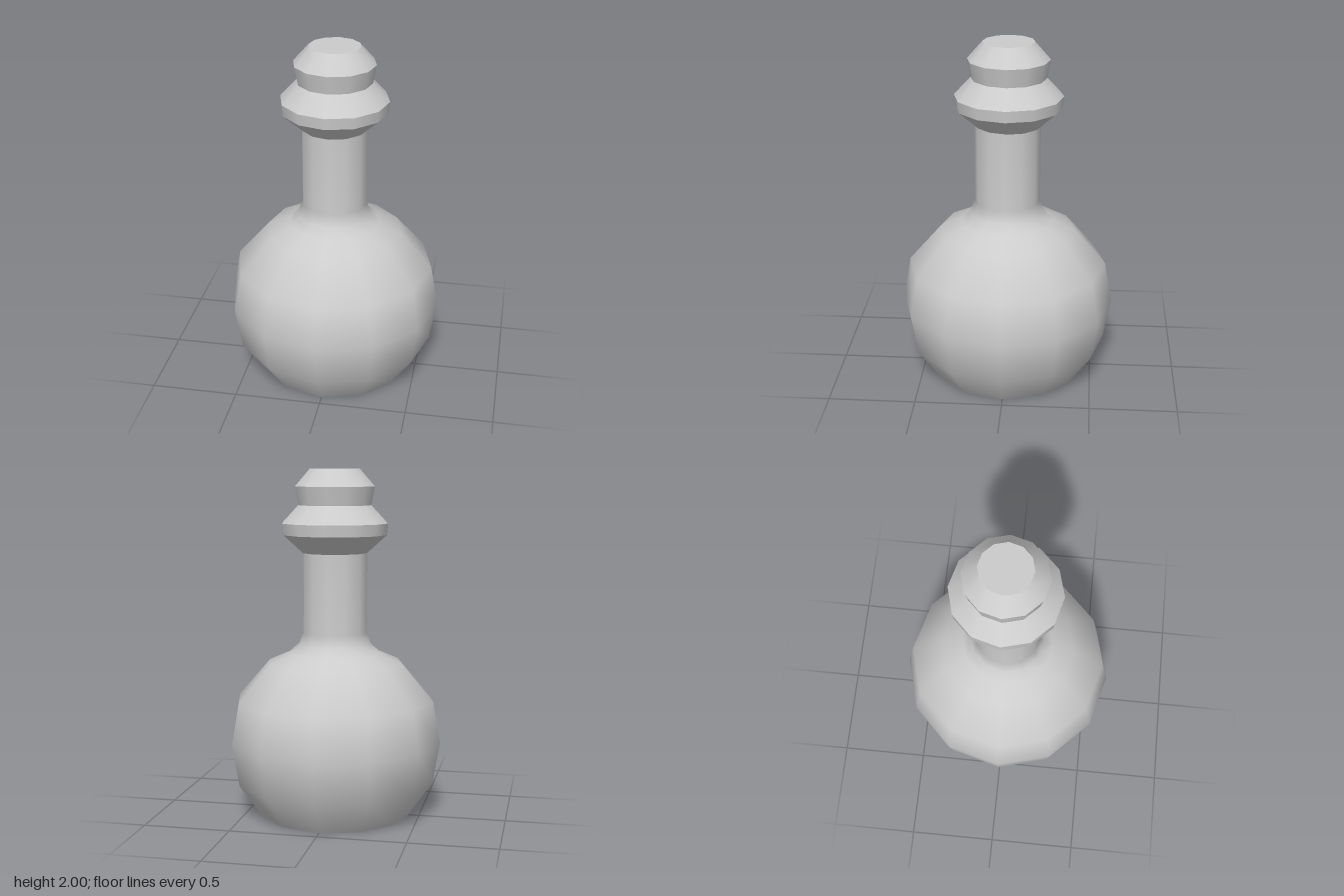
import * as THREE from 'three';
import { mergeGeometries } from 'three/addons/utils/BufferGeometryUtils.js';

const SIDES = 12;
const material = new THREE.MeshStandardMaterial({ color: 0xcccccc });

// Turned surface, smooth along the whole profile
function turn(profile) {
  return new THREE.LatheGeometry(profile.map(([r, y]) => new THREE.Vector2(r, y)), SIDES);
}

// Turned surface with a sharp edge at every profile point
function turnSharp(profile) {
  return mergeGeometries(profile.slice(1).map((p, i) => turn([profile[i], p])));
}

function addPart(parent, name, geometry) {
  const mesh = new THREE.Mesh(geometry, material);
  mesh.name = name;
  parent.add(mesh);
  return mesh;
}

export function createModel() {
  const flask = new THREE.Group();
  flask.name = 'flask';

  // Round body flowing into the straight neck
  addPart(flask, 'bodyAndNeck', turn([
    [0.437, 0], [0.577, 0.2], [0.618, 0.44], [0.575, 0.68], [0.39, 0.895],
    [0.265, 0.95], [0.212, 1.0], [0.188, 1.07], [0.188, 1.53],
  ]));

  // Flat underside
  addPart(flask, 'base', turn([[0, 0], [0.437, 0]]));

  // Flared lip below a faceted stopper, set very slightly back
  const lip = addPart(flask, 'lip', turnSharp([
    [0, 1.527], [0.188, 1.527], [0.302, 1.63], [0.308, 1.695], [0.212, 1.797],
  ]));
  const stopper = addPart(flask, 'stopper', turnSharp([
    [0.212, 1.797], [0.232, 1.902], [0.146, 2], [0, 2],
  ]));
  lip.position.z = stopper.position.z = -0.008;

  return flask;
}
